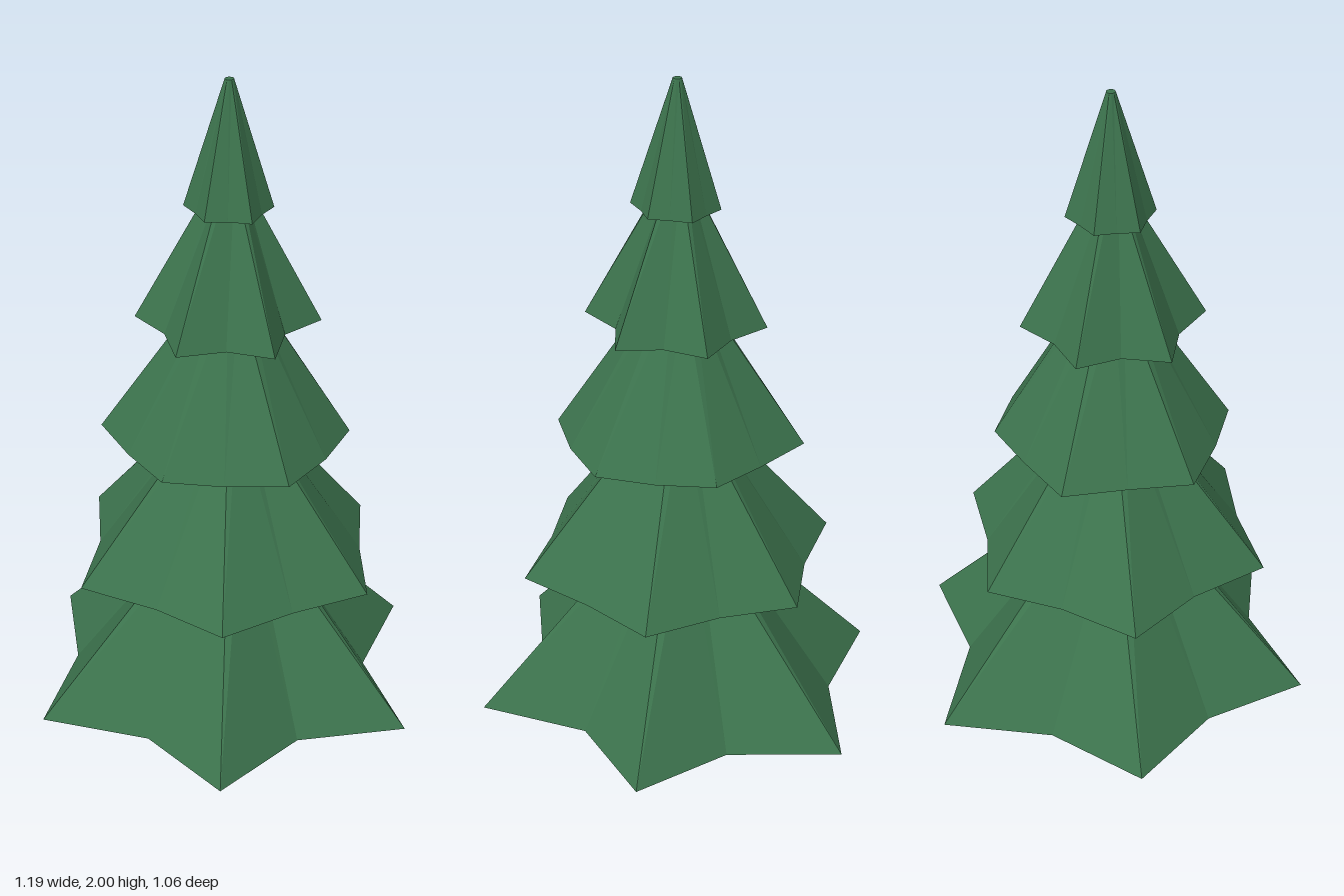
import * as THREE from 'three';

// Each tier: base height, top height, top radius, twelve base radii from +x round towards +z
const TIERS = [
  { y0: 0.16, y1: 0.72, top: 0.07, radii: [0.595, 0.417, 0.583, 0.43, 0.605, 0.457, 0.595, 0.455, 0.614, 0.43, 0.578, 0.4] },
  { y0: 0.58, y1: 1.08, top: 0.05, radii: [0.455, 0.375, 0.443, 0.375, 0.468, 0.375, 0.465, 0.37, 0.44, 0.36, 0.44, 0.375] },
  { y0: 0.975, y1: 1.42, top: 0.055, radii: [0.31, 0.343, 0.305, 0.335, 0.31, 0.358, 0.305, 0.356, 0.3, 0.325, 0.3, 0.334] },
  { y0: 1.32, y1: 1.74, top: 0.03, radii: [0.175, 0.257, 0.19, 0.26, 0.195, 0.256, 0.185, 0.246, 0.19, 0.245, 0.185, 0.248] },
  { y0: 1.65, y1: 2, top: 0.012, radii: [0.1, 0.127, 0.1, 0.12, 0.1, 0.121, 0.1, 0.117, 0.1, 0.12, 0.1, 0.117] },
];

// Closed star-shaped cone with separate flat facets
function starCone({ y0, y1, top, radii }) {
  const n = radii.length;
  const positions = [];
  const point = (k, r, y) => {
    const a = (k / n) * Math.PI * 2;
    return [r * Math.cos(a), y, r * Math.sin(a)];
  };
  for (let k = 0; k < n; k++) {
    const a = point(k, radii[k], y0);
    const b = point(k + 1, radii[(k + 1) % n], y0);
    const ta = point(k, top, y1);
    const tb = point(k + 1, top, y1);
    positions.push(...a, ...ta, ...b, ...b, ...ta, ...tb); // slope
    positions.push(0, y0, 0, ...a, ...b); // underside
    positions.push(0, y1, 0, ...tb, ...ta); // cap
  }
  const geometry = new THREE.BufferGeometry();
  geometry.setAttribute('position', new THREE.Float32BufferAttribute(positions, 3));
  geometry.computeVertexNormals();
  return geometry;
}

export function createModel() {
  const tree = new THREE.Group();
  tree.name = 'pineTree';

  const needles = new THREE.MeshStandardMaterial({ color: 0x3c734d, flatShading: true });
  needles.name = 'needleGreen';
  const bark = new THREE.MeshStandardMaterial({ color: 0x6b4a2b, flatShading: true });
  bark.name = 'barkBrown';

  // Trunk, running up into the lowest tier
  const trunk = new THREE.Mesh(new THREE.CylinderGeometry(0.053, 0.053, 0.2, 8), bark);
  trunk.name = 'trunk';
  trunk.position.y = 0.1;
  tree.add(trunk);

  // Branch tiers
  TIERS.forEach((tier, i) => {
    const mesh = new THREE.Mesh(starCone(tier), needles);
    mesh.name = `branchTier${i + 1}`;
    tree.add(mesh);
  });

  return tree;
}
